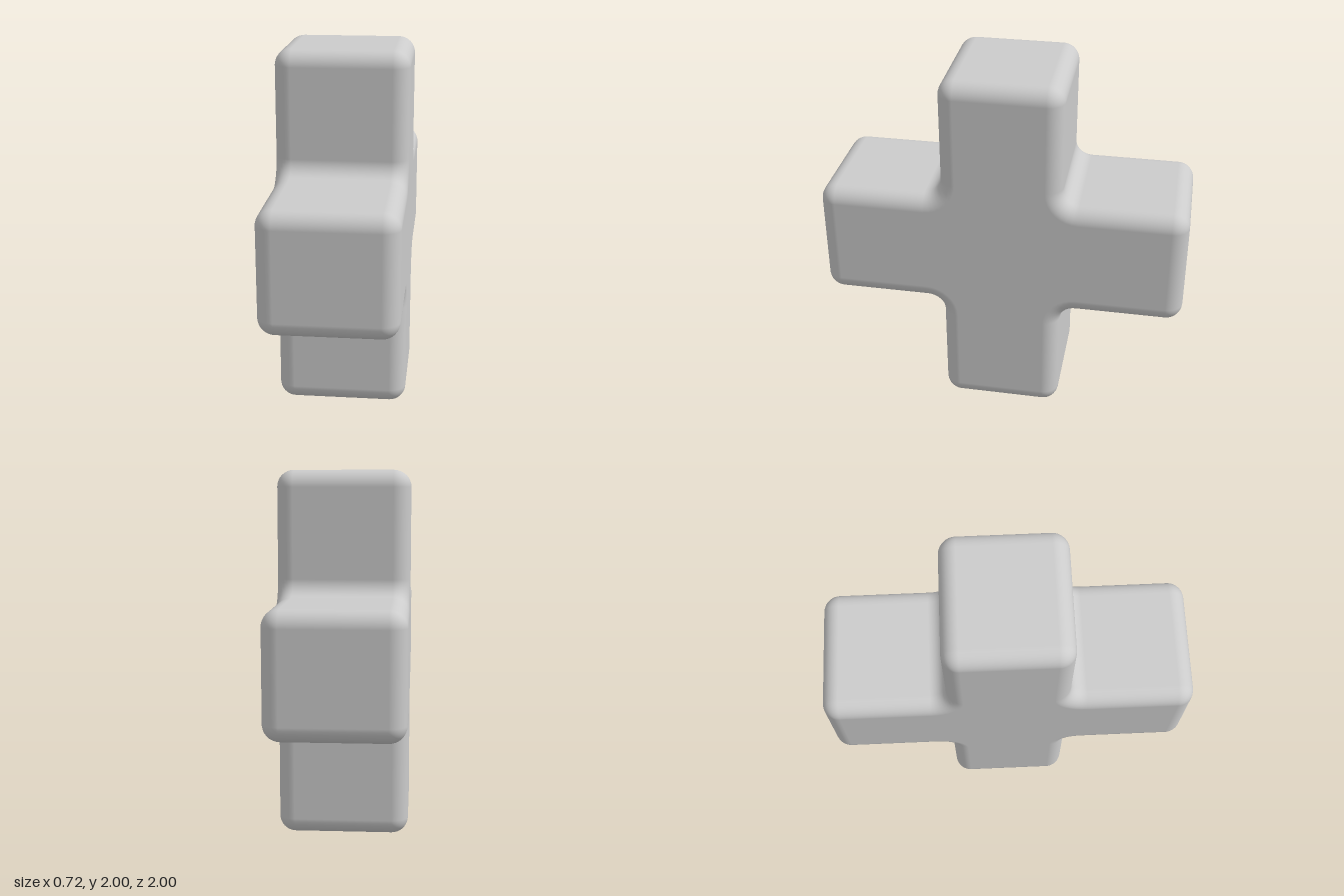
import * as THREE from 'three';

const W = 0.33;      // half width of each arm
const H = 0.358;     // half thickness of the cross
const R = 0.09;      // rounding radius of edges and inner fillets
const STEPS = 8;     // segments per quarter round

// Cross outline, counter-clockwise: points with their outward normals
function crossOutline() {
  const out = [];
  const arc = (cu, cv, radius, from, to, turn) => {
    for (let i = 0; i <= STEPS; i++) {
      const a = from + (to - from) * i / STEPS;
      const n = new THREE.Vector2(Math.cos(a), Math.sin(a));
      const p = new THREE.Vector2(cu, cv).addScaledVector(n, radius);
      const origin = new THREE.Vector2();
      out.push({ p: p.rotateAround(origin, turn), n: n.rotateAround(origin, turn) });
    }
  };
  for (let k = 0; k < 4; k++) {
    const turn = k * Math.PI / 2;
    arc(W - R, 1 - R, R, 0, Math.PI / 2, turn);              // arm end corners
    arc(R - W, 1 - R, R, Math.PI / 2, Math.PI, turn);
    arc(-W - R, W + R, -R, Math.PI, Math.PI / 2, turn);      // concave fillet
  }
  return out;
}

// Stacks inset outlines across the thickness and closes both flat sides
function roundedCross() {
  const outline = crossOutline(), count = outline.length;
  const positions = [], normals = [], index = [];
  const levels = [];
  for (const side of [-1, 1]) {
    for (let i = 0; i <= STEPS; i++) {
      const t = i / STEPS * Math.PI / 2;
      levels.push({ phi: side < 0 ? t - Math.PI / 2 : t, side });
    }
  }
  for (const { phi, side } of levels) {
    const c = Math.cos(phi), s = Math.sin(phi);
    for (const { p, n } of outline) {
      const inset = R * (1 - c);
      positions.push(side * (H - R) + R * s, 1 + p.y - n.y * inset, -(p.x - n.x * inset));
      normals.push(s, n.y * c, -n.x * c);
    }
  }
  const last = (levels.length - 1) * count;
  const centre = levels.length * count;
  positions.push(-H, 1, 0, H, 1, 0);
  normals.push(-1, 0, 0, 1, 0, 0);
  for (let i = 0; i < count; i++) {
    const j = (i + 1) % count;
    for (let k = 0; k < levels.length - 1; k++) {
      const a = k * count, b = a + count;
      index.push(a + i, a + j, b + j, a + i, b + j, b + i);
    }
    index.push(centre, j, i, centre + 1, last + i, last + j);
  }
  const geometry = new THREE.BufferGeometry();
  geometry.setAttribute('position', new THREE.Float32BufferAttribute(positions, 3));
  geometry.setAttribute('normal', new THREE.Float32BufferAttribute(normals, 3));
  geometry.setIndex(index);
  return geometry;
}

export function createModel() {
  const group = new THREE.Group();
  group.name = 'roundedCross';
  const cross = new THREE.Mesh(roundedCross(), new THREE.MeshStandardMaterial({ color: 0xcccccc }));
  cross.name = 'crossBody';
  group.add(cross);
  return group;
}
